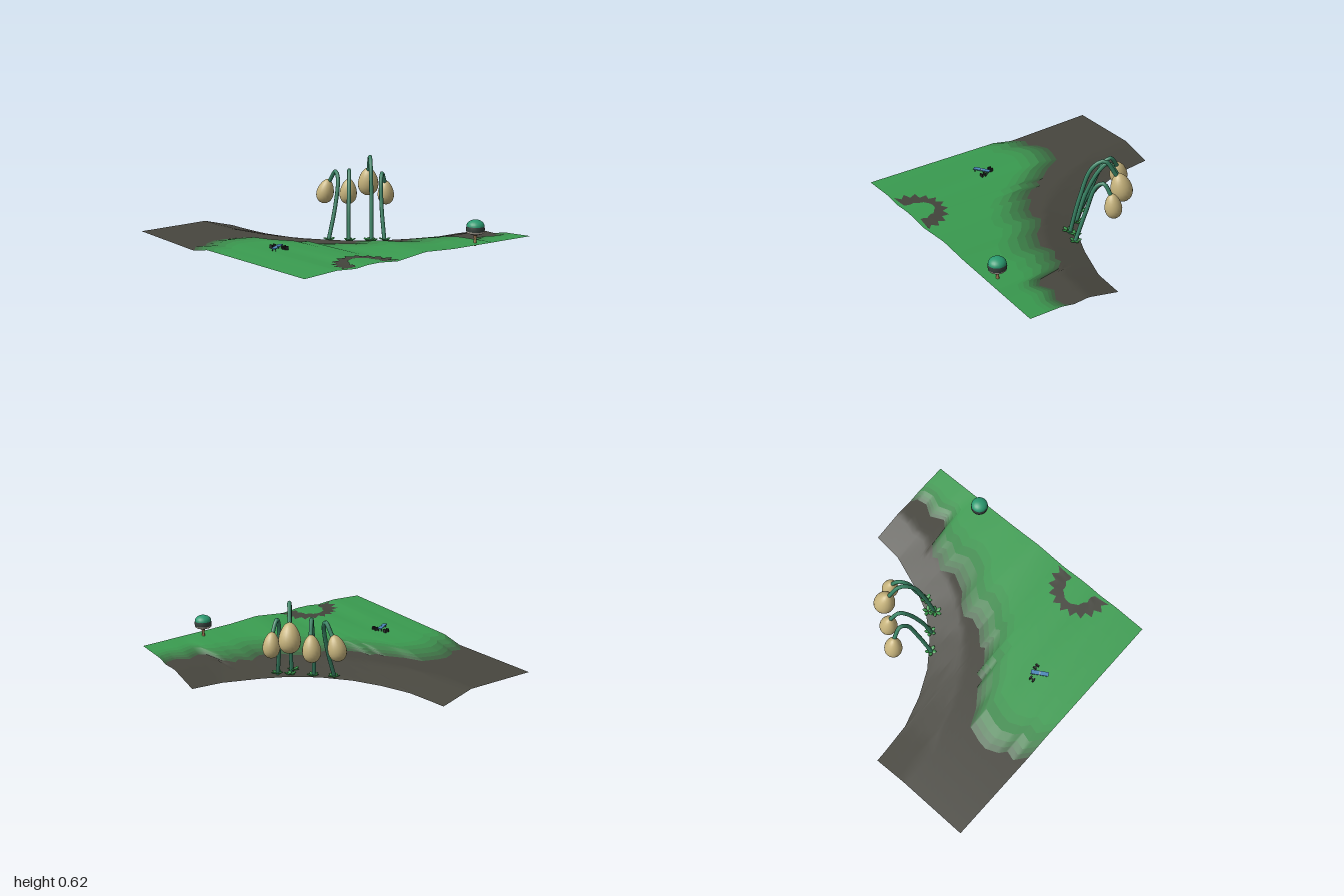
import * as THREE from 'three';

// Outlines as [z, x] pairs: cliff-side edge, jagged grass border; [z, y] for the right rim
const EDGE = [[-1, 0.28], [-0.77, 0.26], [-0.5, 0.165], [-0.32, 0.08], [-0.15, -0.06], [0, -0.25], [0.1, -0.45], [0.175, -0.68], [0.195, -0.91], [0.2, -1], [1, -1]];
const BORDER = [[-1, 0.65], [-0.97, 0.7], [-0.89, 0.715], [-0.8, 0.66], [-0.7, 0.71], [-0.65, 0.66], [-0.63, 0.5], [-0.56, 0.42], [-0.52, 0.44], [-0.44, 0.38], [-0.34, 0.43], [-0.2, 0.36], [-0.14, 0.28], [-0.06, 0.22], [0, 0.25], [0.07, 0.22], [0.09, 0.22], [0.19, 0.12], [0.22, 0.14], [0.3, 0.04], [0.31, -0.05], [0.37, -0.06], [0.38, -0.12], [0.48, -0.25], [0.54, -0.38], [0.66, -0.42], [0.73, -0.43], [0.82, -0.39], [0.86, -0.34], [0.93, -0.36], [1, -0.27]];
const RIM = [[-1, 0.115], [-0.25, 0.14], [0, 0.16], [0.25, 0.137], [0.4, 0.154], [0.5, 0.155], [0.6, 0.146], [0.75, 0.16], [1, 0.15]];
const BANDS = [0, 0.05, 0.1, 0.17, 0.25, 0.33];

const lerp = THREE.MathUtils.lerp;
const clamp01 = (v) => Math.min(1, Math.max(0, v));

function interp(table, z) {
  let i = 1;
  while (i < table.length - 1 && z > table[i][0]) i++;
  const [z0, v0] = table[i - 1], [z1, v1] = table[i];
  return lerp(v0, v1, clamp01((z - z0) / (z1 - z0)));
}

// Distance from a point to the cliff-side edge
function edgeDistance(x, z) {
  let best = Infinity;
  for (let i = 1; i < EDGE.length - 1; i++) {
    const [z0, x0] = EDGE[i - 1], [z1, x1] = EDGE[i];
    const dx = x1 - x0, dz = z1 - z0;
    const t = clamp01(((x - x0) * dx + (z - z0) * dz) / (dx * dx + dz * dz));
    best = Math.min(best, Math.hypot(x - x0 - t * dx, z - z0 - t * dz));
  }
  return best;
}

const pathHeight = (x, z) => 0.07 * Math.min(1, edgeDistance(x, z) / 0.25);
const bandScale = (b) => Math.min(1, (1 - b) / 0.6);

// Sloping path, then a grassy bank that rises gently to the right rim
function height(x, z) {
  const b = interp(BORDER, z);
  if (x <= b) return pathHeight(x, z);
  const shoulder = b + 0.17 * bandScale(b);
  const top = lerp(0.095, 0.108, clamp01(z + 1));
  if (x < shoulder) return lerp(pathHeight(b, z), top, (x - b) / (shoulder - b));
  return lerp(top, interp(RIM, z), (x - shoulder) / (1 - shoulder));
}

function mesh(parent, name, geometry, color, options = {}) {
  const m = new THREE.Mesh(geometry, new THREE.MeshStandardMaterial({ color, ...options }));
  m.name = name;
  parent.add(m);
  return m;
}

// Surface through rows of [x, z] points, draped on the ground
function sheet(parent, name, color, rows, lift = 0) {
  const pos = [], index = [], n = rows[0].length;
  rows.forEach((row, j) => row.forEach(([x, z], i) => {
    pos.push(x, height(x, z) + lift, z);
    if (i && j) {
      const d = j * n + i, c = d - 1, b = d - n, a = b - 1;
      index.push(a, c, b, b, c, d);
    }
  }));
  const g = new THREE.BufferGeometry();
  g.setAttribute('position', new THREE.Float32BufferAttribute(pos, 3));
  g.setIndex(index);
  g.computeVertexNormals();
  return mesh(parent, name, g, color, { side: THREE.DoubleSide });
}

function buildTerrain() {
  const terrain = new THREE.Group();
  terrain.name = 'terrain';
  const zs = new Set([...EDGE, ...BORDER].map((p) => p[0]));
  for (let i = 0; i <= 40; i++) zs.add(Math.round((-1 + i * 0.05) * 100) / 100);
  const rowZ = [...zs].sort((a, b) => a - b);
  const strip = (from, to, n) => rowZ.map((z) => Array.from({ length: n + 1 }, (_, i) => [lerp(from(z), to(z), i / n), z]));
  const border = (z) => interp(BORDER, z);
  sheet(terrain, 'path', 0x47463e, strip((z) => interp(EDGE, z), border, 14));

  // Grass brightens in bands away from the path
  const dark = new THREE.Color(0x3f5a40), bright = new THREE.Color(0x3a9c50);
  const offset = (i) => (z) => border(z) + BANDS[i] * bandScale(border(z));
  for (let i = 1; i < BANDS.length; i++) {
    const tint = dark.clone().lerp(bright, (i - 0.5) / (BANDS.length - 1));
    sheet(terrain, 'grassBand' + i, tint, strip(offset(i - 1), offset(i), 1));
  }
  sheet(terrain, 'grassField', bright, strip(offset(BANDS.length - 1), () => 1, 10));

  // Ragged ring of bare soil at the right rim, seen from both sides
  const outer = [], inner = [];
  for (let i = 0; i <= 20; i++) {
    const a = Math.PI * (0.46 + 1.08 * i / 20);
    const r = i % 2 ? 0.2 : 0.245;
    outer.push([Math.min(1, 0.95 + r * 0.98 * Math.cos(a)), 0.455 + r * Math.sin(a)]);
    inner.push([Math.min(1, 0.95 + 0.15 * Math.cos(a)), 0.455 + (i % 3 ? 0.105 : 0.12) * Math.sin(a)]);
  }
  const middle = outer.map((p, i) => [(p[0] + inner[i][0]) / 2, (p[1] + inner[i][1]) / 2]);
  for (const lift of [0.003, -0.003]) sheet(terrain, 'soilRing', 0x43443c, [outer, middle, inner], lift);
  return terrain;
}

// Drooping stalk with a hanging egg-shaped pod
function buildPodPlant(points, pod, radius, halfHeight) {
  const plant = new THREE.Group();
  plant.name = 'podPlant';
  const curve = new THREE.CatmullRomCurve3(points.map((p) => new THREE.Vector3(...p)));
  mesh(plant, 'stalk', new THREE.TubeGeometry(curve, 24, 0.015, 8), 0x3a8566);
  const profile = [];
  for (let i = 0; i <= 14; i++) {
    const a = Math.PI * i / 14;
    profile.push(new THREE.Vector2(radius * Math.sin(a) * (1 + 0.22 * Math.cos(a)), -halfHeight * Math.cos(a)));
  }
  const egg = mesh(plant, 'pod', new THREE.LatheGeometry(profile, 20), 0xc6b37c);
  egg.position.set(...pod);
  const tip = new THREE.Vector3(...points[points.length - 1]);
  const up = tip.sub(egg.position).add(new THREE.Vector3(0, 0.05, 0)).normalize();
  egg.quaternion.setFromUnitVectors(new THREE.Vector3(0, 1, 0), up);
  return plant;
}

// Rosette of small flat leaves
function buildRosette(x, z) {
  const rosette = new THREE.Group();
  rosette.name = 'leafRosette';
  for (let i = 0; i < 5; i++) {
    const a = i * Math.PI * 0.4 + x * 9;
    const leaf = mesh(rosette, 'leaf', new THREE.SphereGeometry(1, 8, 6), 0x37984a);
    leaf.scale.set(0.021, 0.005, 0.014);
    leaf.position.set(0.025 * Math.cos(a), 0.006, -0.025 * Math.sin(a));
    leaf.rotation.set(0, a, 0.3);
  }
  rosette.position.set(x, height(x, z) + 0.008, z);
  return rosette;
}

// Round-capped mushroom: stalk, dark band, pale ring, green dome
function buildMushroom() {
  const mushroom = new THREE.Group();
  mushroom.name = 'mushroom';
  const lathe = (name, color, pts) => mesh(mushroom, name, new THREE.LatheGeometry(pts.map((p) => new THREE.Vector2(...p)), 20), color, { side: THREE.DoubleSide });
  lathe('stalk', 0xa98259, [[0.012, -0.02], [0.009, 0.03], [0.014, 0.05], [0.025, 0.066]]);
  lathe('capUnderside', 0x4a4a42, [[0, 0.062], [0.035, 0.06], [0.055, 0.068]]);
  lathe('capRing', 0xb5aca0, [[0.055, 0.068], [0.062, 0.075], [0.063, 0.083]]);
  lathe('capBand', 0x353f3b, [[0.063, 0.083], [0.065, 0.1], [0.061, 0.118]]);
  const dome = [];
  for (let i = 0; i <= 8; i++) dome.push([0.062 * Math.cos(i * Math.PI / 16), 0.118 + 0.044 * Math.sin(i * Math.PI / 16)]);
  lathe('capDome', 0x2a9a70, dome);
  mushroom.position.set(0.92, height(0.92, -0.53), -0.53);
  return mushroom;
}

// Blue table with two small dark stools
function buildTableSet() {
  const set = new THREE.Group();
  set.name = 'tableSet';
  const box = (parent, name, color, size, at) => mesh(parent, name, new THREE.BoxGeometry(...size), color).position.set(...at);
  const table = new THREE.Group();
  table.name = 'table';
  for (const s of [-1, 1]) {
    box(table, 'tabletop', 0x4a86b8, [0.061, 0.006, 0.032], [s * 0.034, 0.022, 0]);
    for (const t of [-1, 1]) box(table, 'leg', 0x33383c, [0.005, 0.026, 0.005], [s * 0.05, 0.008, t * 0.011]);
  }
  box(table, 'crossbar', 0xa8b4bc, [0.008, 0.006, 0.03], [0, 0.021, 0]);
  table.position.set(0.24, height(0.24, 0.66), 0.66);
  table.rotation.y = -Math.PI / 3.1;
  set.add(table);
  for (const [x, z, turn] of [[0.172, 0.645, Math.PI / 2], [0.262, 0.607, 0]]) {
    const stool = new THREE.Group();
    stool.name = 'stool';
    for (const s of [-1, 1]) box(stool, 'side', 0x2a2d2c, [0.01, 0.026, 0.027], [s * 0.014, 0.012, 0]);
    box(stool, 'seat', 0x2a2d2c, [0.042, 0.007, 0.01], [0, 0.014, 0]);
    stool.position.set(x, height(x, z), z);
    stool.rotation.y = turn;
    set.add(stool);
  }
  return set;
}

export function createModel() {
  const model = new THREE.Group();
  model.name = 'hillsideGarden';
  model.add(buildTerrain(), buildMushroom(), buildTableSet());
  model.add(
    buildPodPlant([[-0.13, 0.01, -0.07], [-0.165, 0.25, -0.16], [-0.21, 0.44, -0.22], [-0.265, 0.485, -0.24], [-0.33, 0.4, -0.235]], [-0.36, 0.322, -0.22], 0.064, 0.095),
    buildPodPlant([[-0.02, 0.02, -0.17], [-0.07, 0.25, -0.21], [-0.14, 0.44, -0.27], [-0.19, 0.5, -0.31], [-0.245, 0.4, -0.355]], [-0.26, 0.318, -0.36], 0.064, 0.098),
    buildPodPlant([[0.12, 0.02, -0.27], [0.07, 0.3, -0.31], [0, 0.55, -0.36], [-0.07, 0.605, -0.41], [-0.145, 0.48, -0.46]], [-0.168, 0.395, -0.478], 0.076, 0.108),
    buildPodPlant([[0.15, 0.01, -0.37], [0.08, 0.25, -0.4], [0.025, 0.45, -0.44], [-0.01, 0.48, -0.48], [-0.035, 0.4, -0.53]], [-0.043, 0.322, -0.545], 0.06, 0.093),
  );
  for (const [x, z] of [[-0.13, -0.075], [-0.02, -0.18], [0.09, -0.3], [0.12, -0.25], [0.15, -0.375]]) model.add(buildRosette(x, z));
  return model;
}
